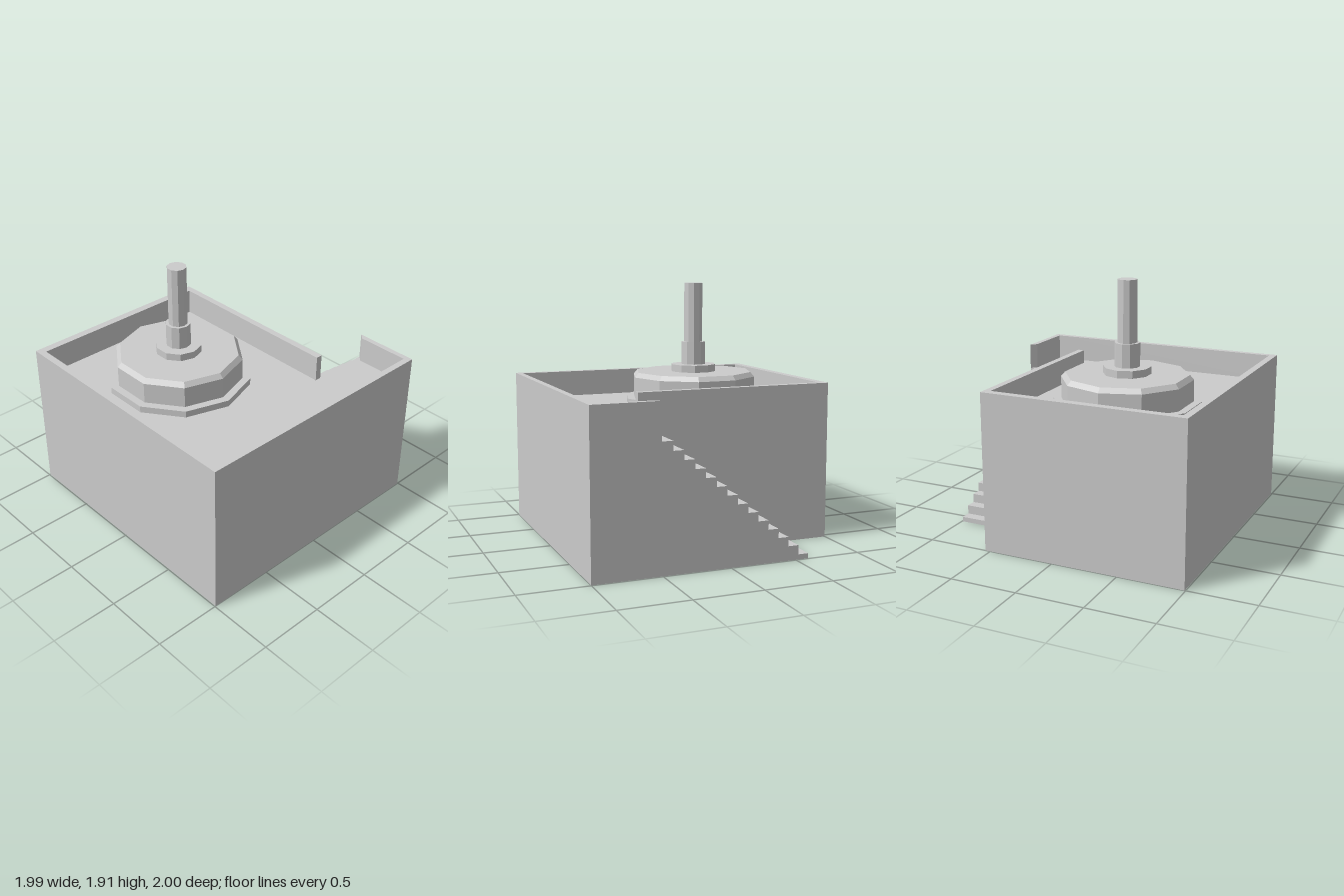
import * as THREE from 'three';

export function createModel() {
  const model = new THREE.Group();
  const grey = new THREE.MeshStandardMaterial({ color: 0xcccccc, flatShading: true });
  const thin = new THREE.MeshStandardMaterial({ color: 0xcccccc, flatShading: true, side: THREE.DoubleSide });

  function add(parent, name, geometry, material = grey) {
    const mesh = new THREE.Mesh(geometry, material);
    mesh.name = name;
    parent.add(mesh);
    return mesh;
  }

  // Plan outline given as [x, z], raised from y0 to y1
  function raisePlan(points, y0, y1) {
    const shape = new THREE.Shape(points.map(([x, z]) => new THREE.Vector2(x, -z)));
    const geometry = new THREE.ExtrudeGeometry(shape, { depth: y1 - y0, bevelEnabled: false });
    return geometry.rotateX(-Math.PI / 2).translate(0, y0, 0);
  }

  const W = 0.993, floorY = 0.98, topY = 1.18;
  const stairX = 0.54, stairZ = 0.505, stairEnd = -0.6;

  // L-shaped body up to the roof floor
  const outer = [[stairX, stairZ], [stairX, -1], [-W, -1], [-W, 1], [W, 1], [W, stairZ]];
  add(model, 'body', raisePlan(outer, 0, floorY));

  // Parapet around the roof, open at the head of the stairs
  const inner = [[0.952, 0.55], [0.952, 0.953], [-0.94, 0.953], [-0.94, -0.94], [0.49, -0.94], [0.49, stairZ]];
  add(model, 'parapet', raisePlan([...outer, ...inner], floorY, topY));

  // Stairs: treads and risers over a side panel, open underneath
  const stairs = new THREE.Group();
  stairs.name = 'stairs';
  model.add(stairs);
  const steps = 14, run = (stairZ - stairEnd) / steps, drop = 0.0673, firstY = 0.912;
  const width = W - stairX, midX = (W + stairX) / 2;
  const profile = [new THREE.Vector2(stairZ, 0)];
  for (let i = 0; i < steps; i++) {
    const y = firstY - i * drop;
    const below = i === steps - 1 ? 0 : y - drop;
    const z0 = stairZ - i * run, z1 = z0 - run;
    profile.push(new THREE.Vector2(z0, y), new THREE.Vector2(z1, y));
    add(stairs, 'tread', new THREE.PlaneGeometry(width, run).rotateX(-Math.PI / 2), thin)
      .position.set(midX, y, (z0 + z1) / 2);
    add(stairs, 'riser', new THREE.PlaneGeometry(width, y - below).rotateY(Math.PI), thin)
      .position.set(midX, (y + below) / 2, z1);
  }
  profile.push(new THREE.Vector2(stairEnd, 0));
  // Profile is drawn as (z, y); turn it to face +x
  const panel = new THREE.ShapeGeometry(new THREE.Shape(profile.map((p) => new THREE.Vector2(-p.x, p.y))));
  add(stairs, 'stairSide', panel.rotateY(Math.PI / 2), thin).position.x = W;

  // Ten-sided drum and chimney: name, bottom radius, top radius, bottom y, top y
  const tower = new THREE.Group();
  tower.name = 'tower';
  tower.position.set(-0.23, 0, -0.235);
  model.add(tower);
  const tiers = [
    ['flange', 0.545, 0.545, 0.98, 1.03],
    ['drum', 0.485, 0.485, 1.03, 1.19],
    ['drumChamfer', 0.485, 0.455, 1.19, 1.225],
    ['chimneyBase', 0.175, 0.175, 1.225, 1.28],
    ['chimneyCollar', 0.094, 0.094, 1.28, 1.455],
    ['chimney', 0.072, 0.072, 1.455, 1.91],
  ];
  for (const [name, rBottom, rTop, y0, y1] of tiers) {
    add(tower, name, new THREE.CylinderGeometry(rTop, rBottom, y1 - y0, 10)).position.y = (y0 + y1) / 2;
  }

  return model;
}
